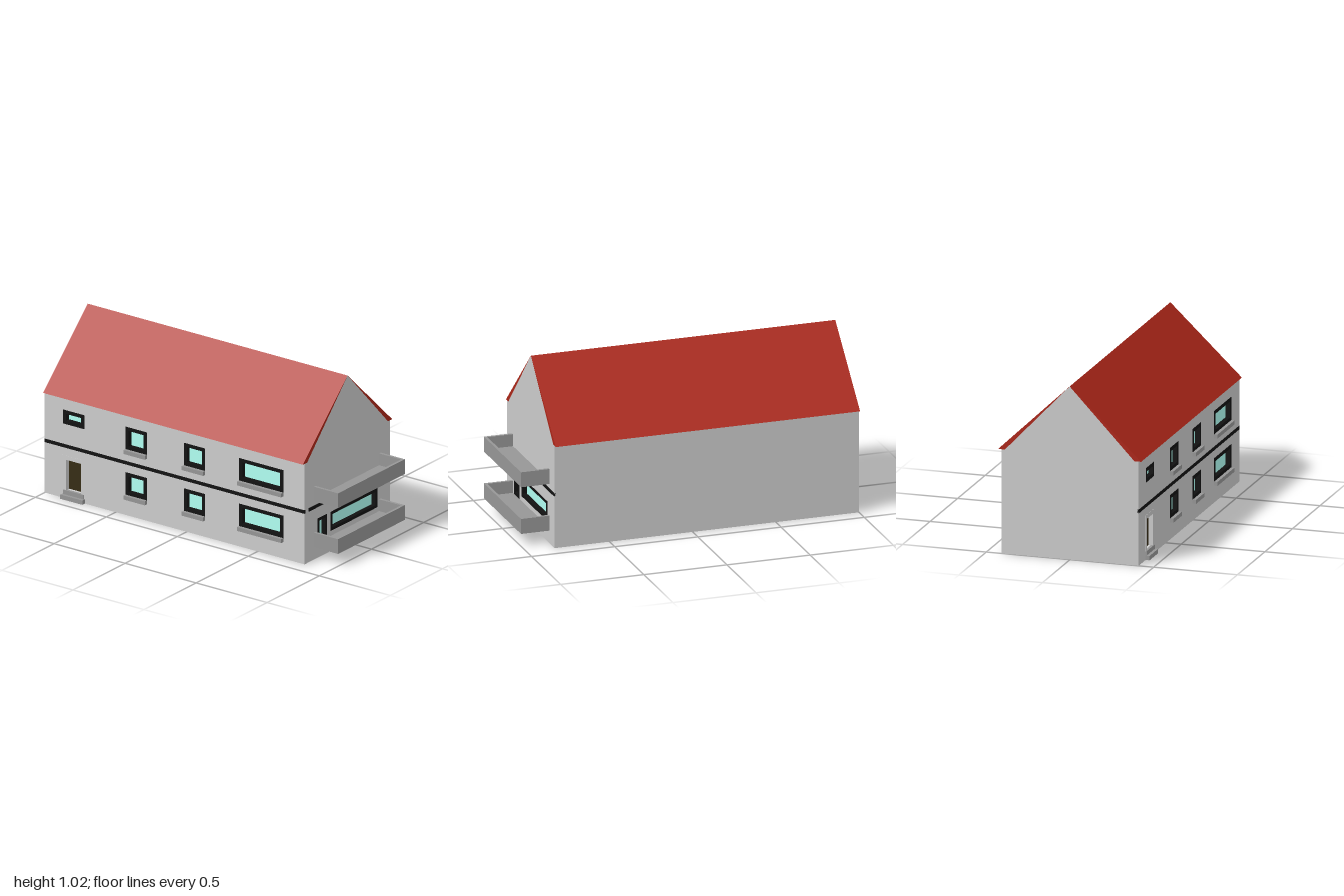
import * as THREE from 'three';

const mat = (color) => new THREE.MeshStandardMaterial({ color, flatShading: true });
const M = {
  wall: mat(0xcccccc), stone: mat(0x969696), roof: mat(0xac2618),
  black: mat(0x121212), glass: mat(0xb0fff3), door: mat(0x362c15),
};
const X0 = -1, X1 = 0.83, D = 0.41, EAVE = 0.615, APEX = 1.022, T = 0.04;

function add(parent, name, geo, material) {
  const m = new THREE.Mesh(geo, material);
  m.name = name;
  parent.add(m);
  return m;
}

// Box given by its minimum and maximum corners
function box(parent, name, material, x0, x1, y0, y1, z0, z1) {
  const m = add(parent, name, new THREE.BoxGeometry(x1 - x0, y1 - y0, z1 - z0), material);
  m.position.set((x0 + x1) / 2, (y0 + y1) / 2, (z0 + z1) / 2);
  return m;
}

function poly(points) {
  return new THREE.Shape(points.map(([x, y]) => new THREE.Vector2(x, y)));
}
const rect = (x0, x1, y0, y1) => poly([[x0, y0], [x1, y0], [x1, y1], [x0, y1]]);
const extrude = (shape, depth) => new THREE.ExtrudeGeometry(shape, { depth, bevelEnabled: false });

// Wall slab with openings; each opening gets a frame and a recessed panel
function facade(name, u0, u1, openings) {
  const g = new THREE.Group();
  g.name = name;
  const wall = rect(u0, u1, 0, EAVE);
  for (const o of openings) {
    const [a, b, c, d] = o.r;
    const f = o.f ?? 0.022;
    wall.holes.push(rect(a, b, c, d));
    const ring = rect(a, b, c, d);
    ring.holes.push(rect(a + f, b - f, c + (o.fb ?? f), d - f));
    add(g, o.name + 'Frame', extrude(ring, T + 0.001), o.frame ?? M.black);
    box(g, o.name + 'Panel', o.panel ?? M.glass, a + f / 2, b - f / 2, c + 0.002, d - f / 2, 0.002, 0.014);
    if (o.sill) box(g, o.name + 'Sill', M.stone, a, b, c - 0.022, c + 0.002, T - 0.01, T + 0.021);
  }
  add(g, name + 'Wall', extrude(wall, T), M.wall);
  box(g, name + 'Band', M.black, u0, u1, 0.31, 0.331, T - 0.01, T + 0.002);
  return g;
}

// Open tray balcony with floor and three parapets
function balcony(y) {
  const g = new THREE.Group();
  g.name = 'balcony';
  const h = 0.09, w = 0.32, t = 0.016;
  box(g, 'balconyFloor', M.stone, X1, 1, y, y + 0.018, -w, w);
  box(g, 'balconyFront', M.stone, 1 - t, 1, y, y + h, -w, w);
  for (const s of [-1, 1]) {
    const z = s * (w - t / 2);
    box(g, 'balconySide', M.stone, X1, 1 - t, y, y + h, z - t / 2, z + t / 2);
  }
  return g;
}

export function createModel() {
  const house = new THREE.Group();
  house.name = 'house';

  // Solid core behind the two detailed walls
  box(house, 'body', M.wall, X0, X1 - T, 0, EAVE, -D, D - T);

  // Front wall: two rows of windows, a small window and the door
  const front = [
    { name: 'smallWindow', r: [-0.87, -0.72, 0.455, 0.54] },
    { name: 'door', r: [-0.873, -0.717, 0.05, 0.262], f: 0.025, fb: 0, frame: M.wall, panel: M.door },
  ];
  for (const y of [0.123, 0.402])
    for (const [a, b] of [[-0.43, -0.28], [-0.02, 0.13], [0.37, 0.68]])
      front.push({ name: 'window', r: [a, b, y, y + 0.139], sill: true });
  const frontWall = facade('front', X0, X1, front);
  frontWall.position.z = D - T;
  house.add(frontWall);

  // Side wall: balcony door and wide window
  const sideWall = facade('side', T - D, D, [
    { name: 'balconyDoor', r: [-0.285, -0.195, 0.093, 0.24], f: 0.018 },
    { name: 'wideWindow', r: [-0.16, 0.285, 0.123, 0.24], f: 0.018 },
  ]);
  sideWall.rotation.y = Math.PI / 2;
  sideWall.position.x = X1 - T;
  house.add(sideWall);

  // Door steps
  box(house, 'lowerStep', M.stone, -0.873, -0.717, 0, 0.026, D - 0.01, 0.434);
  box(house, 'upperStep', M.stone, -0.867, -0.723, 0.026, 0.052, D - 0.01, D + 0.006);

  // Gabled attic with a wedge-shaped roof slope on each side
  const roof = new THREE.Group();
  roof.name = 'roof';
  const inner = 0.387, outer = 0.4275, len = X1 - X0;
  add(roof, 'gable', extrude(poly([[-inner, EAVE], [inner, EAVE], [0, APEX]]), len), M.wall);
  for (const s of [-1, 1])
    add(roof, 'roofSlope', extrude(poly([[s * inner, EAVE], [s * outer, EAVE], [0, APEX]]), len), M.roof);
  roof.rotation.y = Math.PI / 2;
  roof.position.set(X0, 0, -0.002);
  house.add(roof);

  for (const y of [0.075, 0.356]) house.add(balcony(y));
  return house;
}
